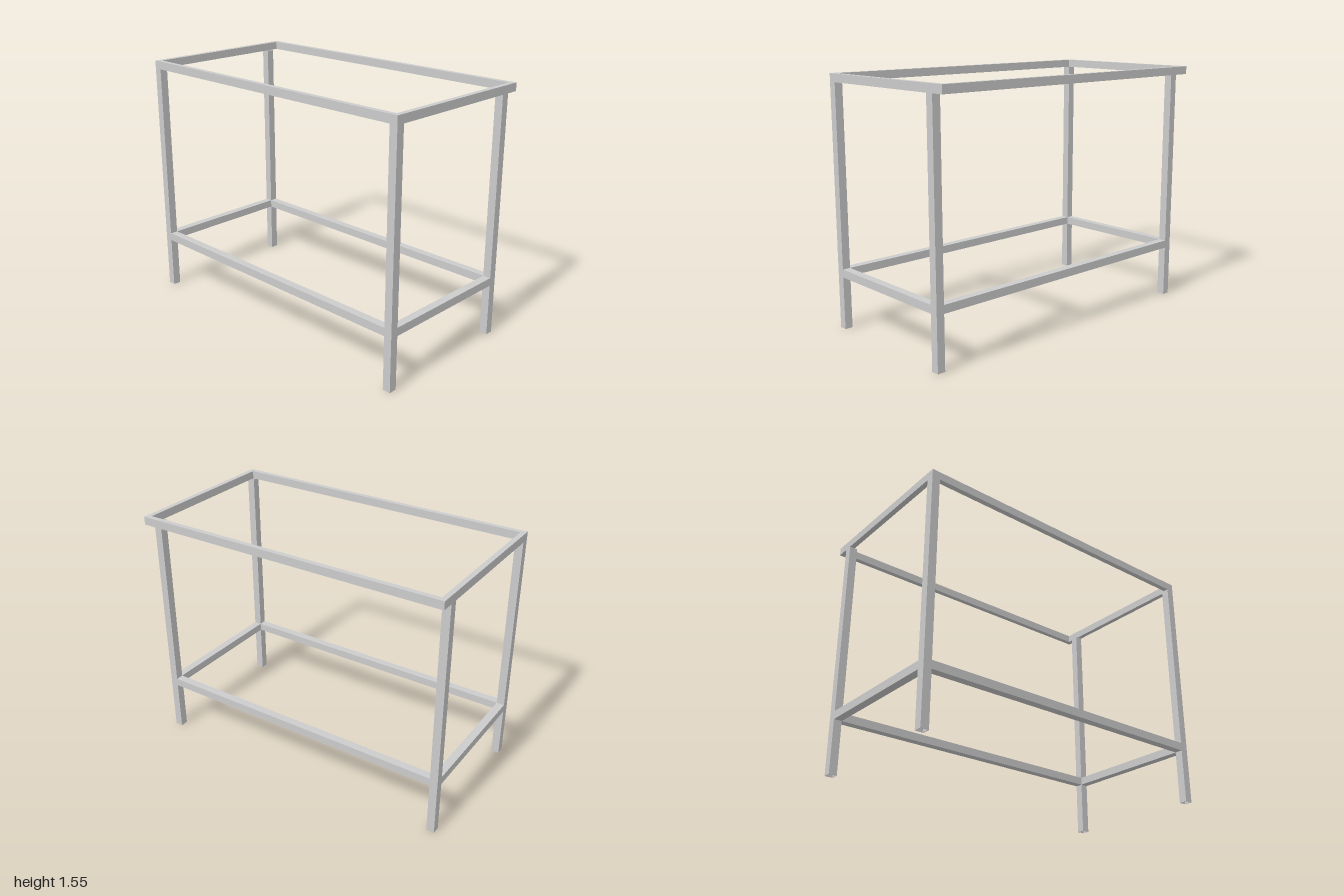
import * as THREE from 'three';

const TUBE = 0.05;                    // square tube width
const WALL = 0.0025;                  // tube wall
const TOP = 1.55, LEG_TOP = 1.5;
const HALF_DEPTH = 0.522;
const LEG_X = 1 - TUBE / 2;           // leg centre lines
const FRONT_Z = 0.497, BACK_Z = -0.417;
const RAIL_Y = 0.354;

const material = new THREE.MeshStandardMaterial({ color: 0xcccccc, flatShading: true });

// Upright hollow rectangle, open through the middle
function hollowRect(width, depth, wall, height) {
  const rect = (T, w, d) => new T([
    new THREE.Vector2(-w, -d), new THREE.Vector2(w, -d),
    new THREE.Vector2(w, d), new THREE.Vector2(-w, d),
  ]);
  const shape = rect(THREE.Shape, width / 2, depth / 2);
  shape.holes.push(rect(THREE.Path, width / 2 - wall, depth / 2 - wall));
  const geometry = new THREE.ExtrudeGeometry(shape, { depth: height, bevelEnabled: false });
  return geometry.rotateX(-Math.PI / 2);
}

export function createModel() {
  const group = new THREE.Group();
  const add = (name, geometry, x, y, z) => {
    const mesh = new THREE.Mesh(geometry, material);
    mesh.name = name;
    mesh.position.set(x, y, z);
    group.add(mesh);
  };

  // Top frame, overhanging the back legs
  add('topFrame', hollowRect(2, HALF_DEPTH * 2, 0.032, TOP - LEG_TOP), 0, LEG_TOP, 0);

  // Open-ended tube legs
  const legGeometry = hollowRect(TUBE, TUBE, WALL, LEG_TOP);
  for (const [side, sx] of [['Left', 1], ['Right', -1]]) {
    add(`front${side}Leg`, legGeometry, sx * LEG_X, 0, FRONT_Z);
    add(`back${side}Leg`, legGeometry, sx * LEG_X, 0, BACK_Z);
  }

  // Lower rails fitted between the legs
  const longRail = new THREE.BoxGeometry(2 - TUBE * 2, TUBE, TUBE);
  add('frontLowerRail', longRail, 0, RAIL_Y, FRONT_Z);
  add('backLowerRail', longRail, 0, RAIL_Y, BACK_Z);
  const sideRail = new THREE.BoxGeometry(TUBE, TUBE, FRONT_Z - BACK_Z - TUBE);
  const midZ = (FRONT_Z + BACK_Z) / 2;
  add('leftLowerRail', sideRail, LEG_X, RAIL_Y, midZ);
  add('rightLowerRail', sideRail, -LEG_X, RAIL_Y, midZ);

  return group;
}
